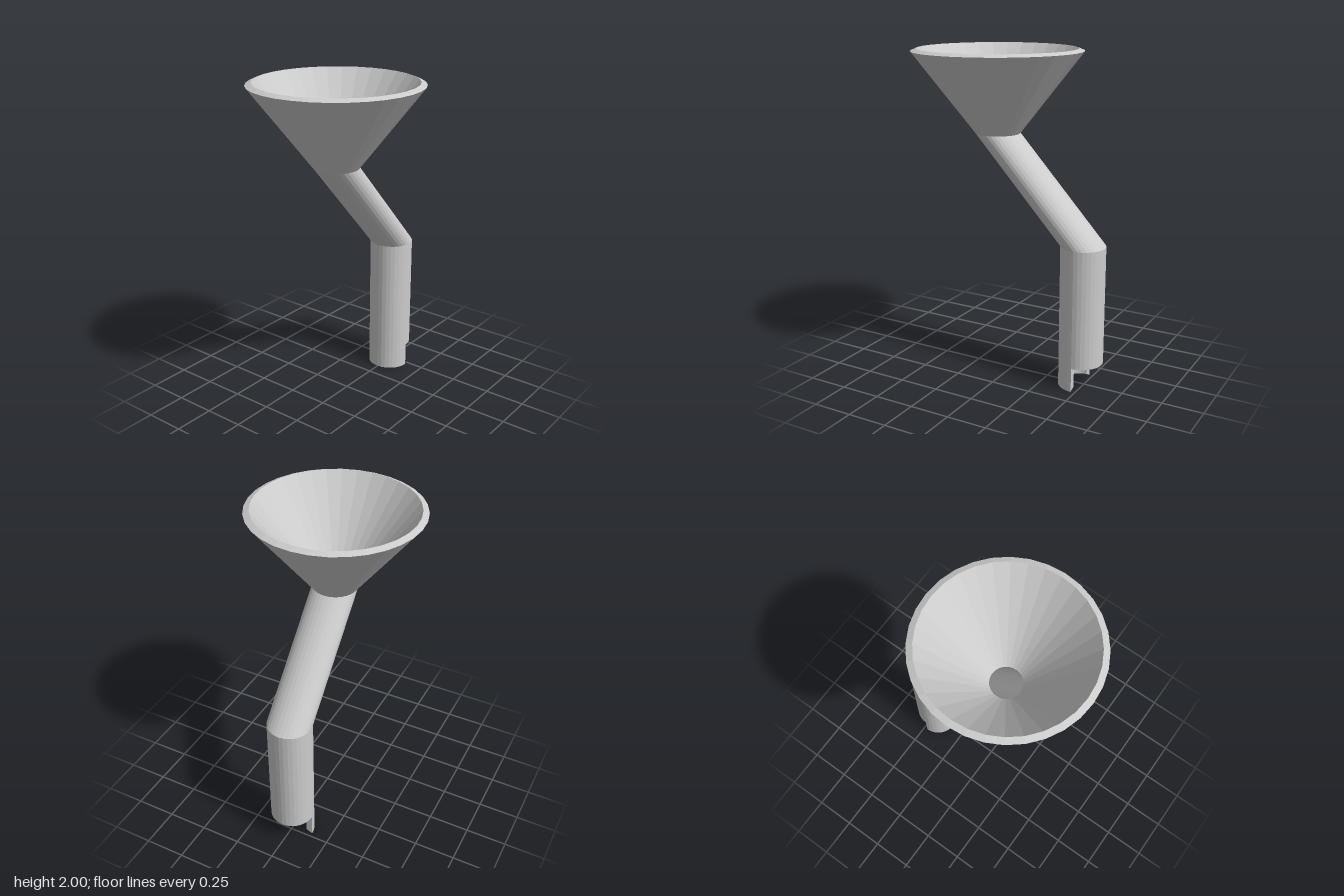
import * as THREE from 'three';

const SIDES = 32;
const OUTER = 0.135, INNER = 0.095;
const TOP_X = -0.1, LOW_X = 0.475;

// Faceted skin through level rings [centreX, y, radius], swept from angle a0 to a1.
// Outer walls run upward, inner walls downward.
function loft(rings, a0 = 0, a1 = Math.PI * 2) {
  const steps = Math.round(SIDES * (a1 - a0) / (Math.PI * 2));
  const pos = [];
  const point = ([cx, y, r], i) => {
    const a = a0 + (a1 - a0) * i / steps;
    return [cx + r * Math.cos(a), y, -r * Math.sin(a)];
  };
  for (let k = 0; k < rings.length - 1; k++) {
    for (let i = 0; i < steps; i++) {
      const a = point(rings[k], i), b = point(rings[k], i + 1);
      const c = point(rings[k + 1], i + 1), d = point(rings[k + 1], i);
      pos.push(...a, ...b, ...c, ...a, ...c, ...d);
    }
  }
  const g = new THREE.BufferGeometry();
  g.setAttribute('position', new THREE.Float32BufferAttribute(pos, 3));
  g.computeVertexNormals();
  return g;
}

export function createModel() {
  const group = new THREE.Group();
  const grey = new THREE.MeshStandardMaterial({ color: 0xcccccc });
  grey.name = 'light grey';

  const add = (name, geometry) => {
    const mesh = new THREE.Mesh(geometry, grey);
    mesh.name = name;
    group.add(mesh);
    return mesh;
  };

  // Funnel: outer cone, bevelled rim, inner cone
  add('funnel', loft([
    [TOP_X, 1.5, OUTER], [TOP_X, 1.985, 0.51], [TOP_X, 2, 0.475], [TOP_X, 1.5, INNER],
  ]));

  // Slanted pipe with level ends, outside and bore
  add('slantedPipeOutside', loft([[LOW_X, 0.88, OUTER], [TOP_X, 1.5, OUTER]]));
  add('slantedPipeBore', loft([[TOP_X, 1.5, INNER], [LOW_X, 0.88, INNER]]));

  // Upright pipe, outside and bore
  add('uprightPipeOutside', loft([[LOW_X, 0.15, OUTER], [LOW_X, 0.88, OUTER]]));
  add('uprightPipeBore', loft([[LOW_X, 0.88, INNER], [LOW_X, 0.15, INNER]]));

  // Underside of the pipe wall above the cut-away half
  add('cutawayEdge', loft([[LOW_X, 0.15, INNER], [LOW_X, 0.15, OUTER]],
    -Math.PI / 2, Math.PI / 2));

  // Remaining half of the spout, with a bevelled lower lip
  add('spoutHalf', loft([
    [LOW_X, 0.15, INNER], [LOW_X, 0.02, INNER], [LOW_X, 0, OUTER], [LOW_X, 0.15, OUTER],
  ], Math.PI / 2, Math.PI * 1.5));

  // Cut faces on both sides of the spout
  for (const s of [1, -1]) {
    const wall = new THREE.Shape([
      new THREE.Vector2(s * INNER, 0.02), new THREE.Vector2(s * OUTER, 0),
      new THREE.Vector2(s * OUTER, 0.15), new THREE.Vector2(s * INNER, 0.15),
    ]);
    const face = add(s > 0 ? 'backCutFace' : 'frontCutFace', new THREE.ShapeGeometry(wall));
    face.rotation.y = Math.PI / 2;
    face.position.x = LOW_X;
  }

  return group;
}
